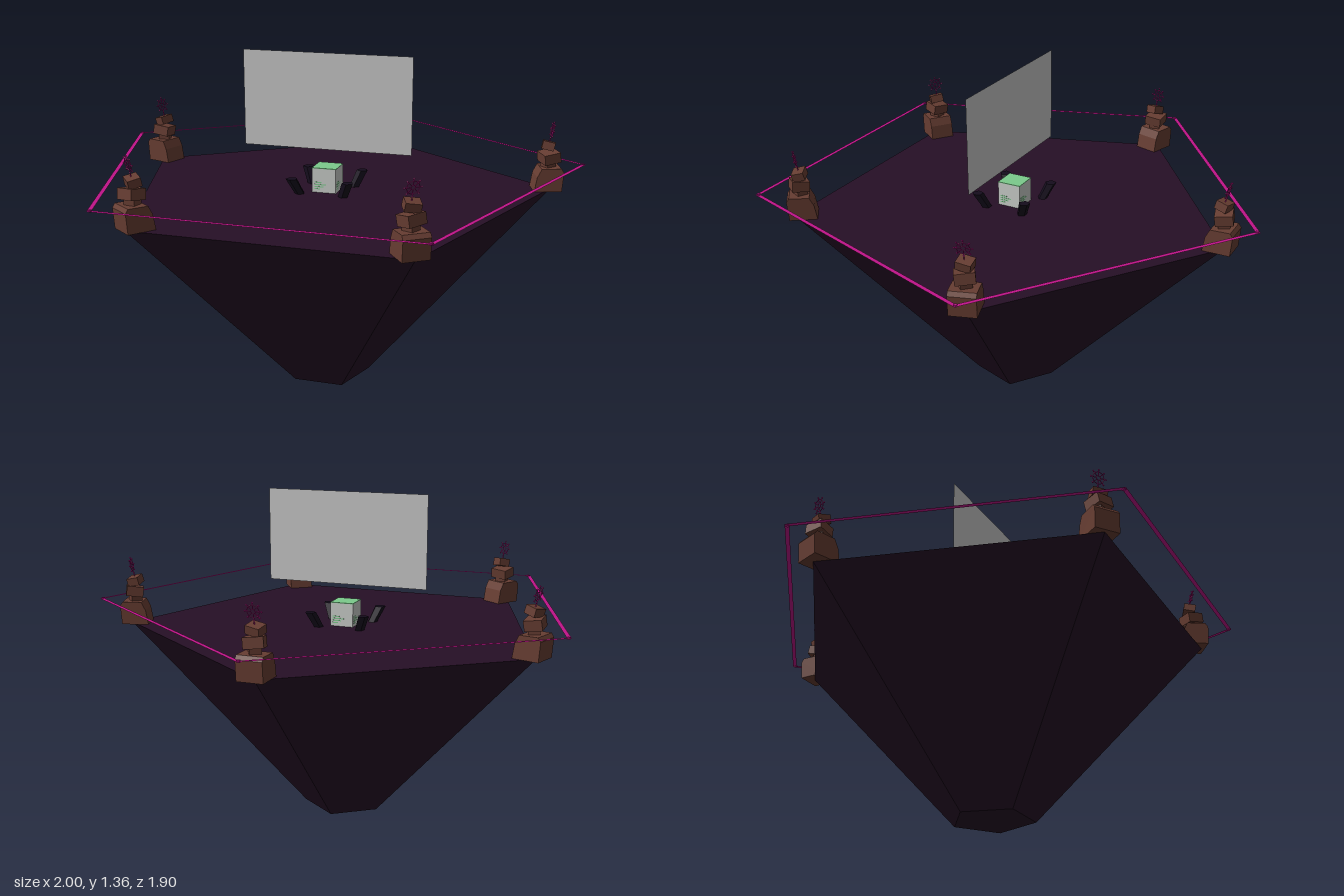
import * as THREE from 'three';

const mat = (name, color, side = THREE.FrontSide) =>
  new THREE.MeshStandardMaterial({ name, color, side, flatShading: true });

const CENTRE_Z = 0.1;
const FLOOR = 0.8;

export function createModel() {
  const model = new THREE.Group();
  model.name = 'floatingPentagonIsland';

  const islandMat = mat('dark purple stone', 0x260f26);
  const rockMat = mat('brown rock', 0x673d32);
  const magenta = mat('magenta', 0xc0148a, THREE.DoubleSide);
  const screenMat = mat('screen grey', 0xc6c6c6, THREE.DoubleSide);
  const cubeMat = mat('pale grey', 0xc8ccc8);
  const green = mat('green', 0x7ccb8c);
  const slabMat = mat('near black', 0x140c1c);

  const add = (parent, name, geometry, material, x = 0, y = 0, z = 0) => {
    const mesh = new THREE.Mesh(geometry, material);
    mesh.name = name;
    mesh.position.set(x, y, z);
    parent.add(mesh);
    return mesh;
  };

  // Island: a five-sided frustum with one corner at the back
  const island = new THREE.CylinderGeometry(0.912, 0.172, FLOOR, 5);
  island.rotateY(Math.PI);
  add(model, 'island', island, islandMat, 0, FLOOR / 2, 0.095);

  // Flat boundary ring with small corner joints
  const ring = new THREE.RingGeometry(1.031, 1.0515, 5, 1, Math.PI / 2);
  ring.rotateX(-Math.PI / 2);
  add(model, 'boundaryRing', ring, magenta, 0, 0.9, CENTRE_Z);

  // Screen hovering over the cube
  add(model, 'screen', new THREE.PlaneGeometry(0.7, 0.39), screenMat, 0, 1.165, 0.11);

  // Console cube with green top and readout bars on every side
  const cube = new THREE.Group();
  cube.name = 'consoleCube';
  cube.position.set(0, FLOOR, CENTRE_Z);
  model.add(cube);
  add(cube, 'cubeBody', new THREE.BoxGeometry(0.1, 0.1, 0.1), cubeMat, 0, 0.05, 0);
  add(cube, 'cubeTop', new THREE.BoxGeometry(0.101, 0.003, 0.101), green, 0, 0.1, 0);
  for (let i = 0; i < 4; i++) {
    const side = new THREE.Group();
    side.name = 'cubeReadout';
    side.rotation.y = i * Math.PI / 2;
    cube.add(side);
    [0.03, 0.05, 0.038, 0.024].forEach((w, k) =>
      add(side, 'readoutBar', new THREE.BoxGeometry(w, 0.004, 0.002), green,
        -0.04 + w / 2, 0.042 - k * 0.009, 0.05));
  }

  // Four slabs around the cube, leaning outward along the diagonals
  for (const sx of [-1, 1]) for (const sz of [-1, 1]) {
    const slab = new THREE.CylinderGeometry(0.024, 0.021, 0.065, 5);
    const p = slab.attributes.position;
    for (let i = 0; i < p.count; i++) {
      const lean = 0.4 * p.getY(i);
      p.setX(i, p.getX(i) + sx * lean);
      p.setZ(i, p.getZ(i) + sz * lean);
    }
    add(model, 'leaningSlab', slab, slabMat, sx * 0.104, FLOOR + 0.0325, CENTRE_Z + sz * 0.096);
  }

  // Base rock: radial profile with its inner top edge cut away
  const profile = new THREE.Shape([
    [-0.062, 0], [0.05, 0], [0.056, 0.08], [0.045, 0.096], [-0.035, 0.094], [-0.052, 0.06],
  ].map(([x, y]) => new THREE.Vector2(x, y)));
  const baseGeo = new THREE.ExtrudeGeometry(profile, { depth: 0.104, bevelEnabled: false });
  baseGeo.translate(0, 0, -0.052);
  baseGeo.rotateY(-Math.PI / 2);

  // Stacked-rock totem; its local +z points away from the centre
  const makeTotem = () => {
    const totem = new THREE.Group();
    totem.name = 'totem';
    add(totem, 'baseRock', baseGeo, rockMat);
    const middle = add(totem, 'middleRock', new THREE.BoxGeometry(0.075, 0.042, 0.07), rockMat, 0, 0.135, 0.002);
    middle.rotation.set(-0.15, 0.25, 0.12);
    const lower = add(totem, 'wedgeRock', new THREE.BoxGeometry(0.045, 0.03, 0.045), rockMat, 0, 0.105, 0);
    lower.rotation.y = 0.5;
    const upper = add(totem, 'upperRock', new THREE.BoxGeometry(0.058, 0.034, 0.05), rockMat, 0.003, 0.181, -0.003);
    upper.rotation.set(0.22, -0.2, -0.1);

    // Thin wheel emblem tilted outward
    const wheel = new THREE.Group();
    wheel.name = 'wheelEmblem';
    wheel.position.set(0, 0.245, 0.01);
    wheel.rotation.x = 0.2;
    totem.add(wheel);
    add(wheel, 'wheelRim', new THREE.TorusGeometry(0.025, 0.0018, 4, 8), magenta);
    add(wheel, 'wheelHub', new THREE.TorusGeometry(0.009, 0.0015, 4, 8), magenta);
    for (let i = 0; i < 8; i++) {
      const a = i * Math.PI / 4;
      const spoke = add(wheel, 'wheelSpoke', new THREE.BoxGeometry(0.026, 0.0024, 0.0024), magenta,
        Math.cos(a) * 0.02, Math.sin(a) * 0.02, 0);
      spoke.rotation.z = a;
      add(wheel, 'wheelBead', new THREE.OctahedronGeometry(0.0045), magenta,
        Math.cos(a) * 0.032, Math.sin(a) * 0.032, 0);
    }
    add(wheel, 'wheelStem', new THREE.BoxGeometry(0.003, 0.02, 0.003), magenta, 0, -0.042, 0);
    return totem;
  };

  // One totem and one ring joint at every corner
  [0.905, 0.897, 0.872, 0.872, 0.897].forEach((radius, i) => {
    const a = Math.PI - i * Math.PI * 2 / 5;
    const totem = makeTotem();
    totem.position.set(Math.sin(a) * radius, FLOOR, CENTRE_Z + Math.cos(a) * radius);
    totem.rotation.y = a;
    model.add(totem);
    const joint = add(model, 'ringJoint', new THREE.BoxGeometry(0.012, 0.008, 0.012), magenta,
      Math.sin(a) * 1.038, 0.9, CENTRE_Z + Math.cos(a) * 1.038);
    joint.rotation.y = a;
  });

  return model;
}
